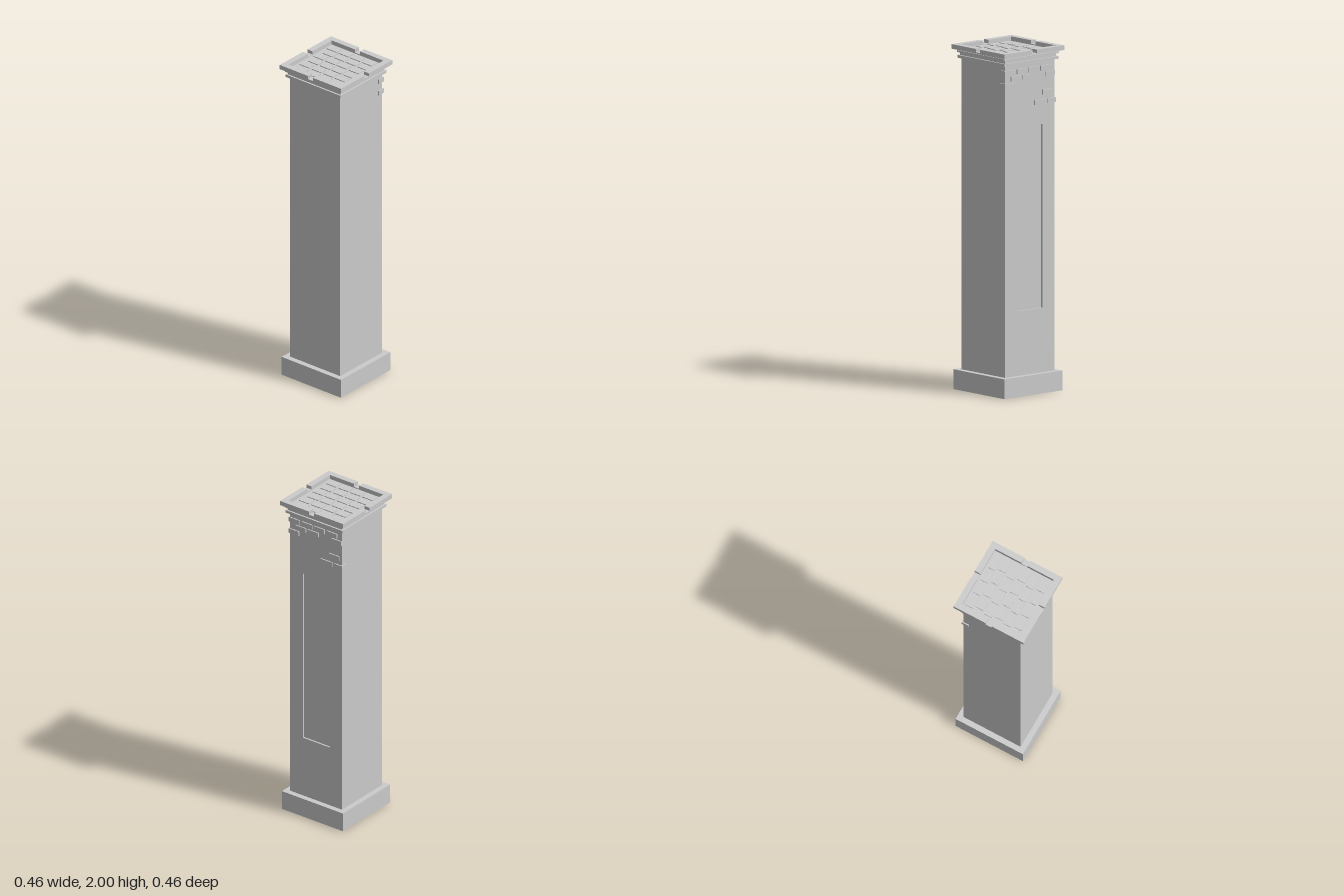
import * as THREE from 'three';

const material = new THREE.MeshStandardMaterial({ color: 0xcccccc, flatShading: true });

export function createModel() {
  const tower = new THREE.Group();
  tower.name = 'squareTower';

  // Box spanning min to max on each axis
  const box = (name, x0, x1, y0, y1, z0, z1, parent = tower) => {
    const mesh = new THREE.Mesh(new THREE.BoxGeometry(x1 - x0, y1 - y0, z1 - z0), material);
    mesh.position.set((x0 + x1) / 2, (y0 + y1) / 2, (z0 + z1) / 2);
    mesh.name = name;
    parent.add(mesh);
    return mesh;
  };
  const slab = (name, half, y0, y1) => box(name, -half, half, y0, y1, -half, half);
  const group = (name) => {
    const g = new THREE.Group();
    g.name = name;
    tower.add(g);
    return g;
  };

  // Plinth and shaft
  const H = 0.187, bottom = 0.115, top = 1.922, recess = 0.01;
  slab('plinth', 0.22, 0, bottom);
  box('shaft', -H, H, bottom, top, -H + recess, H);

  // Back wall skin with a tall sunken panel
  const rect = (path, x0, x1, y0, y1) =>
    path.moveTo(x0, y0).lineTo(x1, y0).lineTo(x1, y1).lineTo(x0, y1).closePath();
  const wall = rect(new THREE.Shape(), -H, H, bottom, top);
  wall.holes.push(rect(new THREE.Path(), -0.097, 0.093, 0.49, 1.555));
  const skin = new THREE.Mesh(
    new THREE.ExtrudeGeometry(wall, { depth: recess, bevelEnabled: false }), material);
  skin.position.z = -H;
  skin.name = 'backWallWithPanel';
  tower.add(skin);

  // Stepped cornice
  slab('corniceLower', 0.205, top, 1.938);
  slab('corniceNeck', 0.195, 1.938, 1.955);
  slab('corniceUpper', 0.207, 1.955, 1.966);
  slab('corniceCove', 0.198, 1.966, 1.974);

  // Parapet: a low frame with four corner pieces, leaving a notch in each side
  const outer = 0.228, inner = 0.192, notch = 0.019;
  const parapet = group('parapet');
  for (const s of [-1, 1]) {
    const a = s < 0 ? -outer : inner, b = s < 0 ? -inner : outer;
    box('parapetSill', -outer, outer, 1.973, 1.98, a, b, parapet);
    box('parapetSill', a, b, 1.973, 1.98, -inner, inner, parapet);
    for (const [p, q] of [[-1, -notch], [notch, 1]]) {
      const fit = (v, edge) => (Math.abs(v) === 1 ? v * edge : v);
      box('parapetWall', fit(p, outer), fit(q, outer), 1.98, 2, a, b, parapet);
      box('parapetWall', a, b, 1.98, 2, fit(p, inner), fit(q, inner), parapet);
    }
  }

  // Roof pavers in staggered rows
  const pavers = group('roofPavers');
  const starts = [-0.178, -0.162, -0.176, -0.161, -0.173, -0.162];
  const rows = [-0.155, -0.097, -0.034, 0.03, 0.092, 0.155];
  rows.forEach((z, r) => {
    for (let i = 0; i < 4; i++) {
      const x = starts[r] + i * 0.087;
      box('paver', x, x + 0.074, 1.972, 1.979, z - 0.025, z + 0.025, pavers);
    }
  });

  // Exposed bricks on the back wall: [left x, right x, centre y]
  const bricks = group('exposedBricks');
  const layout = [
    [0.115, 0.193, 1.88], [0.025, 0.1, 1.88], [-0.065, 0.01, 1.88], [-0.155, -0.08, 1.88],
    [0.07, 0.145, 1.843], [-0.02, 0.055, 1.843], [-0.187, -0.115, 1.843],
    [0.12, 0.193, 1.806],
    [-0.17, -0.095, 1.74],
    [-0.12, -0.035, 1.685], [-0.194, -0.135, 1.685],
  ];
  for (const [x0, x1, y] of layout) {
    box('brick', x0, x1, y - 0.014, y + 0.014, -0.194, -0.15, bricks);
  }
  return tower;
}
